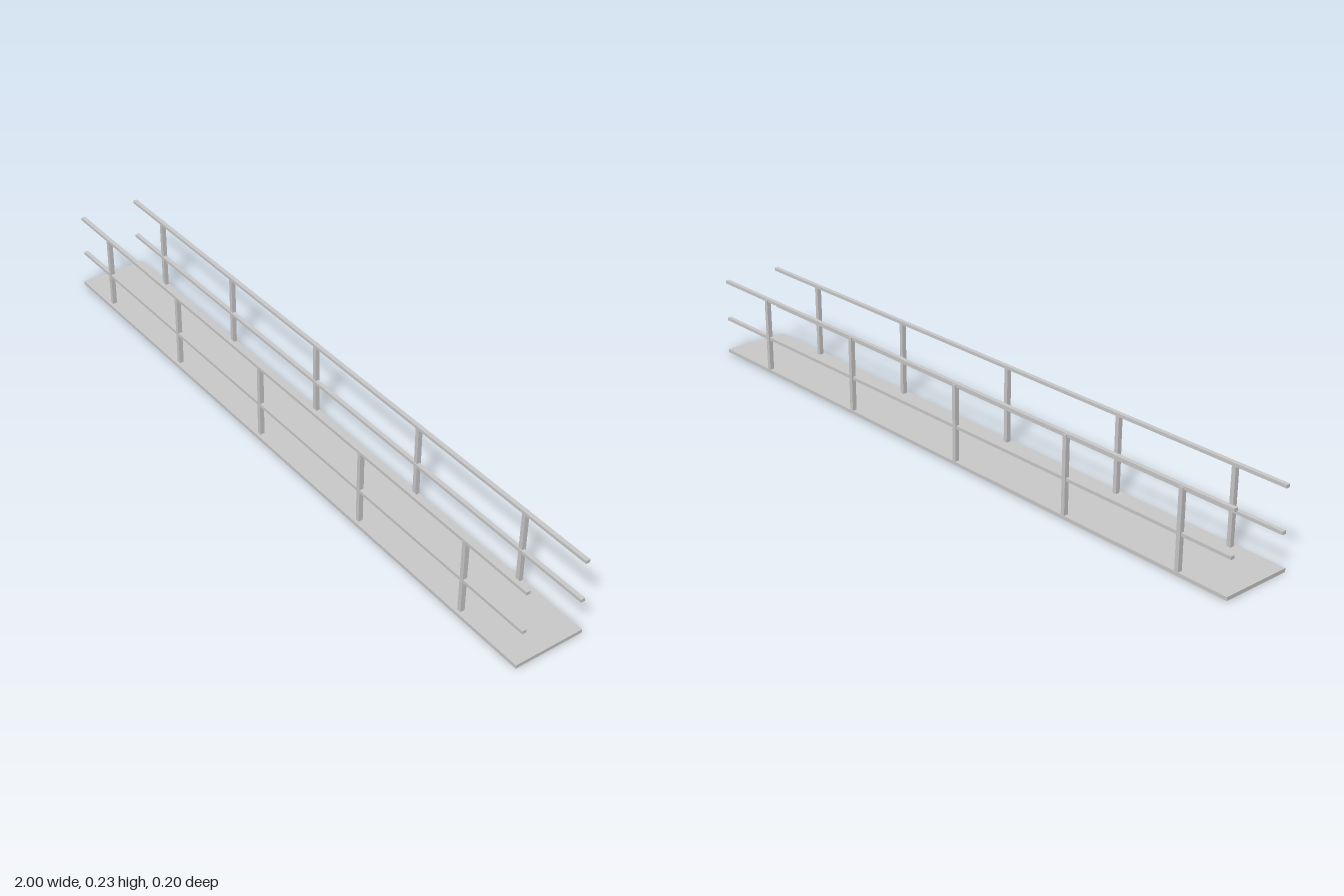
import * as THREE from 'three';

export function createModel() {
  const model = new THREE.Group();
  const material = new THREE.MeshStandardMaterial({ color: 0xcccccc, flatShading: true });

  // Box given by its size and centre
  function addBox(parent, name, size, centre) {
    const mesh = new THREE.Mesh(new THREE.BoxGeometry(...size), material);
    mesh.name = name;
    mesh.position.set(...centre);
    parent.add(mesh);
  }

  // Walkway deck
  addBox(model, 'deck', [2, 0.01, 0.204], [0, 0.005, 0]);

  // One railing per side: two long rails on five posts
  const postXs = [-0.845, -0.468, -0.058, 0.383, 0.785];
  const sides = [
    { name: 'frontRailing', railZ: 0.087, postZ: 0.087 },
    { name: 'backRailing', railZ: -0.092, postZ: -0.095 },
  ];
  for (const { name, railZ, postZ } of sides) {
    const railing = new THREE.Group();
    railing.name = name;
    addBox(railing, 'topRail', [2, 0.009, 0.012], [0, 0.2265, railZ]);
    addBox(railing, 'middleRail', [2, 0.009, 0.012], [0, 0.1075, railZ]);
    for (const x of postXs) {
      addBox(railing, 'post', [0.012, 0.222, 0.013], [x, 0.117, postZ]);
    }
    model.add(railing);
  }
  return model;
}
